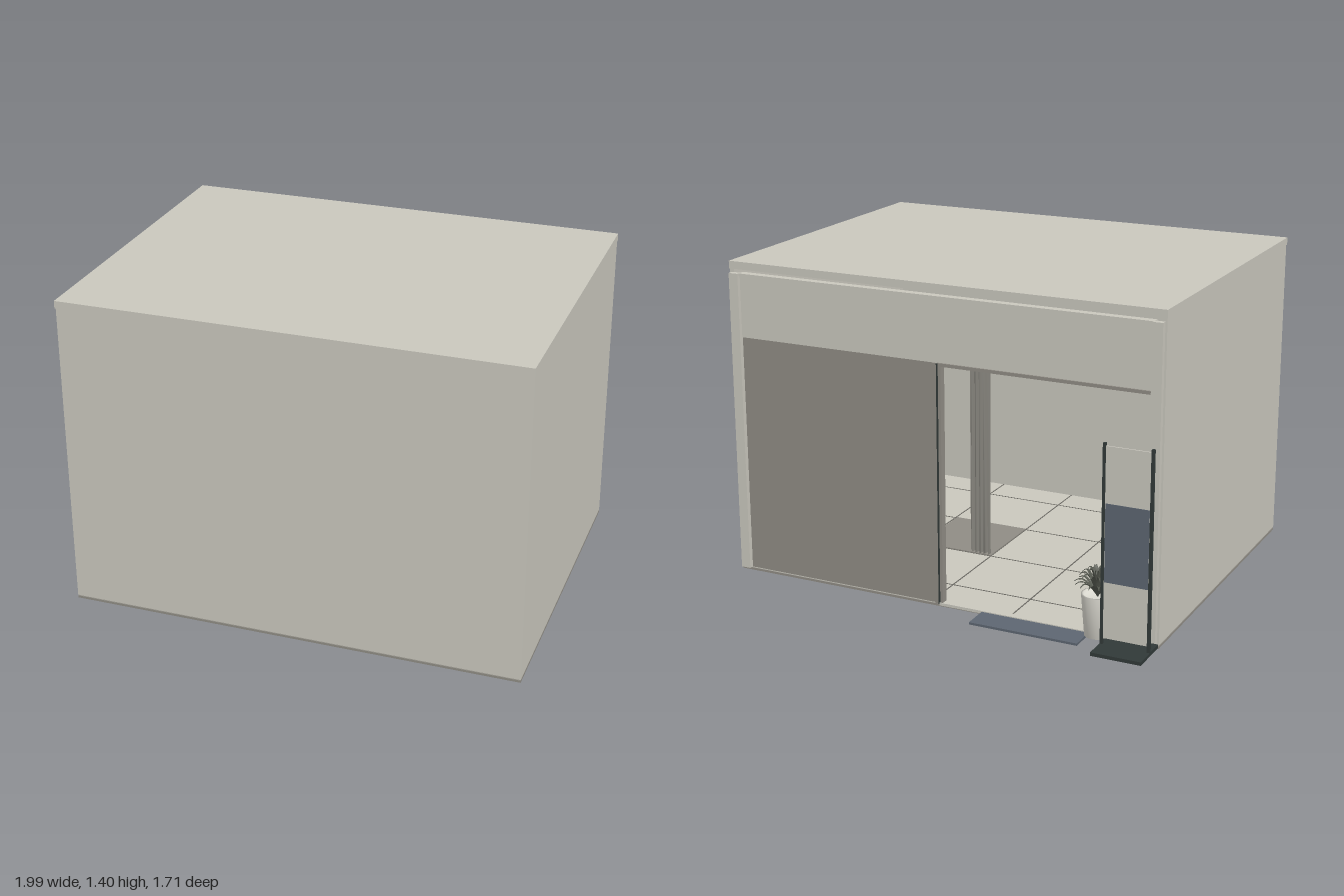
import * as THREE from 'three';

const mat = (name, color, side = THREE.FrontSide) => {
  const m = new THREE.MeshStandardMaterial({ color, side });
  m.name = name;
  return m;
};

export function createModel() {
  const model = new THREE.Group();
  model.name = 'shopRoom';
  const wall = mat('warmGreyWall', 0xc9c7bd);
  const shade = mat('midGreyPanel', 0x8f8c84);
  const slate = mat('slate', 0x5d6671);
  const dark = mat('charcoal', 0x313938);
  const joint = mat('tileJoint', 0x6b6963);
  const cloth = mat('curtainGrey', 0x85837c, THREE.DoubleSide);
  const leafMat = mat('leafGrey', 0x55584f, THREE.DoubleSide);
  const pale = mat('paleWhite', 0xdbd9d0);

  const add = (name, geo, material, parent = model) => {
    const m = new THREE.Mesh(geo, material);
    m.name = name;
    parent.add(m);
    return m;
  };
  // Box given by its lower and upper limits on each axis
  const box = (name, material, x0, x1, y0, y1, z0, z1, parent) => {
    const m = add(name, new THREE.BoxGeometry(x1 - x0, y1 - y0, z1 - z0), material, parent);
    m.position.set((x0 + x1) / 2, (y0 + y1) / 2, (z0 + z1) / 2);
    return m;
  };

  // Shell: slab, floor, three walls and roof
  box('baseSlab', shade, -0.99, 0.99, 0, 0.01, -0.637, 0.85);
  box('floor', wall, -0.985, 0.985, 0.01, 0.016, -0.635, 0.845);
  box('closedWall', wall, -0.99, 0.99, 0.014, 1.365, 0.83, 0.85);
  for (const s of [-1, 1]) {
    const x = s * 0.98;
    box('sideWall', wall, x - 0.01, x + 0.01, 0.014, 1.365, -0.637, 0.83);
  }
  box('roof', wall, -0.992, 0.992, 1.365, 1.398, -0.64, 0.857);

  // Floor tile joints
  for (let x = -0.7; x < 0.9; x += 0.37)
    box('tileJoint', joint, x - 0.003, x + 0.003, 0.016, 0.017, -0.63, 0.83);
  for (let z = -0.44; z < 0.8; z += 0.37)
    box('tileJoint', joint, -0.97, 0.97, 0.016, 0.017, z - 0.003, z + 0.003);

  // Open shopfront: corner posts, fascia, fixed panel, mullion and rails
  for (const s of [-1, 1]) {
    const x = s * 0.96;
    box('cornerPost', wall, x - 0.022, x + 0.022, 0.016, 1.35, -0.66, -0.635);
  }
  box('fascia', wall, -0.94, 0.94, 1.07, 1.35, -0.643, -0.615);
  box('fasciaCap', wall, -0.94, 0.94, 1.338, 1.35, -0.65, -0.643);
  box('fixedPanel', shade, 0.015, 0.94, 0.016, 1.07, -0.639, -0.62);
  box('mullion', shade, -0.02, 0.015, 0.016, 1.07, -0.648, -0.615);
  box('mullionGroove', dark, -0.008, -0.001, 0.016, 1.07, -0.651, -0.648);
  box('headRail', shade, -0.94, -0.005, 1.058, 1.072, -0.65, -0.615);
  box('sill', wall, -0.92, -0.005, 0.01, 0.022, -0.652, -0.62);

  // Pleated curtain drawn to one side, its rail and floor mat
  const pleats = new THREE.PlaneGeometry(0.1, 1.08, 24, 1);
  const p = pleats.attributes.position;
  for (let i = 0; i < p.count; i++) p.setZ(i, 0.022 * Math.sin((p.getX(i) / 0.1) * Math.PI * 10));
  pleats.computeVertexNormals();
  add('curtain', pleats, cloth).position.set(0.09, 0.57, -0.07);
  const rail = add('curtainRail', new THREE.CylinderGeometry(0.008, 0.008, 0.93, 10), dark);
  rail.rotation.z = Math.PI / 2;
  rail.position.set(0.505, 1.11, -0.07);
  box('fittingMat', shade, 0.04, 0.4, 0.016, 0.021, -0.07, 0.3);

  // Wall shelving with dividers and stock
  const shelving = new THREE.Group();
  shelving.name = 'shelving';
  model.add(shelving);
  const levels = [0.1, 0.41, 0.69, 1.0];
  for (const y of levels)
    box('shelf', wall, -0.97, -0.8, y - 0.012, y + 0.006, -0.37, 0.64, shelving);
  for (let i = 0; i < 4; i++) {
    const z = -0.36 + i * 0.33;
    box('divider', wall, -0.97, -0.8, 0.016, 1.16, z - 0.006, z + 0.006, shelving);
    if (i === 3) break;
    levels.slice(0, 3).forEach((y, j) => {
      const item = add('foldedStock', new THREE.SphereGeometry(0.07, 16, 10), (i + j) % 2 ? shade : pale, shelving);
      item.scale.set(0.9, 0.5, 1.2);
      item.position.set(-0.88, y + 0.035, z + 0.165);
    });
  }

  // Ceiling lights
  for (const x of [-0.5, 0.5]) for (const z of [-0.2, 0.4])
    add('ceilingLight', new THREE.CylinderGeometry(0.025, 0.025, 0.008, 20), pale).position.set(x, 1.361, z);

  // Doormat
  box('doormat', slate, -0.69, -0.205, 0.008, 0.018, -0.77, -0.636);

  // Free-standing board on two poles
  const sign = new THREE.Group();
  sign.name = 'standingBoard';
  model.add(sign);
  box('boardBase', dark, -1, -0.785, 0.02, 0.035, -0.857, -0.672, sign);
  for (const x of [-0.993, -0.792])
    box('boardPole', dark, x - 0.006, x + 0.006, 0.035, 0.877, -0.764, -0.75, sign);
  box('boardPanel', wall, -0.987, -0.798, 0.06, 0.865, -0.76, -0.754, sign);
  box('boardBlock', slate, -0.985, -0.8, 0.3, 0.63, -0.762, -0.752, sign);

  // Potted plant with arching leaves
  const plant = new THREE.Group();
  plant.name = 'pottedPlant';
  plant.position.set(-0.73, 0.02, -0.657);
  model.add(plant);
  const profile = [[0, 0], [0.053, 0], [0.068, 0.18], [0.06, 0.18], [0.058, 0.165], [0, 0.165]];
  add('pot', new THREE.LatheGeometry(profile.map(([x, y]) => new THREE.Vector2(x, y)), 20), pale, plant);
  const leaf = (reach, rise) => {
    const g = new THREE.PlaneGeometry(1, 1, 2, 6);
    const a = g.attributes.position;
    for (let i = 0; i < a.count; i++) {
      const t = a.getY(i) + 0.5, side = a.getX(i);
      const width = 0.018 * Math.sin(Math.PI * (0.12 + 0.86 * t));
      a.setXYZ(i, side * width, 0.165 + rise * Math.sin(t * 2.1) + Math.abs(side) * 0.006, reach * t);
    }
    g.computeVertexNormals();
    return g;
  };
  [[0.095, 0.07, 14], [0.075, 0.105, 11], [0.045, 0.125, 7]].forEach(([reach, rise, n], ring) => {
    for (let i = 0; i < n; i++)
      add('leaf', leaf(reach, rise), leafMat, plant).rotation.y = ((i + ring * 0.4) / n) * Math.PI * 2;
  });

  return model;
}
